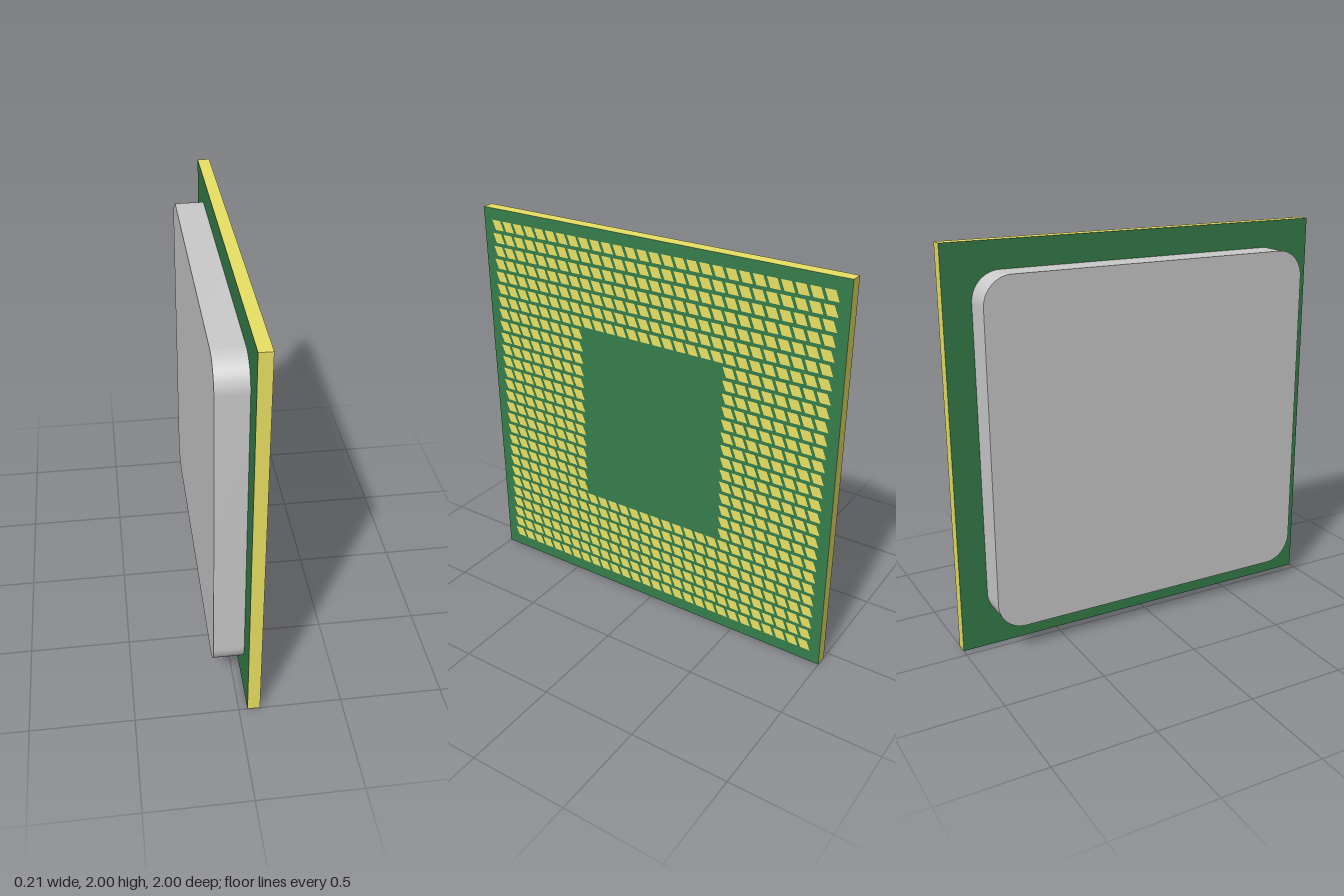
import * as THREE from 'three';
import { toCreasedNormals } from 'three/addons/utils/BufferGeometryUtils.js';

const mat = (color) => new THREE.MeshStandardMaterial({ color });

// Square outline with rounded corners, centred on the origin
function roundedSquare(half, r) {
  const s = new THREE.Shape();
  const c = half - r;
  s.absarc(c, c, r, 0, Math.PI / 2);
  s.absarc(-c, c, r, Math.PI / 2, Math.PI);
  s.absarc(-c, -c, r, Math.PI, Math.PI * 1.5);
  s.absarc(c, -c, r, Math.PI * 1.5, Math.PI * 2);
  s.closePath();
  return s;
}

// Slanted contact pad, its top edge leaning to the left
function padShape(x, y) {
  const w = 0.0255, h = 0.025, lean = 0.01;
  return new THREE.Shape([
    new THREE.Vector2(x - w + lean, y - h),
    new THREE.Vector2(x + w + lean, y - h),
    new THREE.Vector2(x + w - lean, y + h),
    new THREE.Vector2(x - w - lean, y + h),
  ]);
}

export function createModel() {
  const group = new THREE.Group();
  const gold = mat(0xeae264);
  const green = mat(0x357e4b);
  const grey = mat(0xcccccc);

  const add = (name, geometry, material) => {
    const mesh = new THREE.Mesh(geometry, material);
    mesh.name = name;
    group.add(mesh);
  };

  // Board: green faces, gold edges
  const board = new THREE.BoxGeometry(0.061, 2, 2).translate(0.0725, 1, 0);
  add('board', board, [green, green, gold, gold, gold, gold]);

  // Metal lid with rounded corners on the -x face
  const lid = new THREE.ExtrudeGeometry(roundedSquare(0.862, 0.14), {
    depth: 0.147, bevelEnabled: false, curveSegments: 12,
  });
  lid.rotateY(Math.PI / 2).translate(-0.105, 1.003, 0);
  add('lid', toCreasedNormals(lid, 0.6), grey);

  // Grid of contact pads on the +x face, with an empty window in the middle
  const count = 28, pitch = 0.0676, mid = (count - 1) / 2;
  const pads = [];
  for (let row = 0; row < count; row++) {
    for (let col = 0; col < count; col++) {
      const inWindow = col >= 8 && col < 20 && row >= 7 && row < 21;
      if (!inWindow) pads.push(padShape((col - mid) * pitch, (row - mid) * pitch));
    }
  }
  const padGeometry = new THREE.ShapeGeometry(pads);
  padGeometry.rotateY(Math.PI / 2).translate(0.105, 1.003, 0);
  add('contactPads', padGeometry, gold);

  return group;
}
